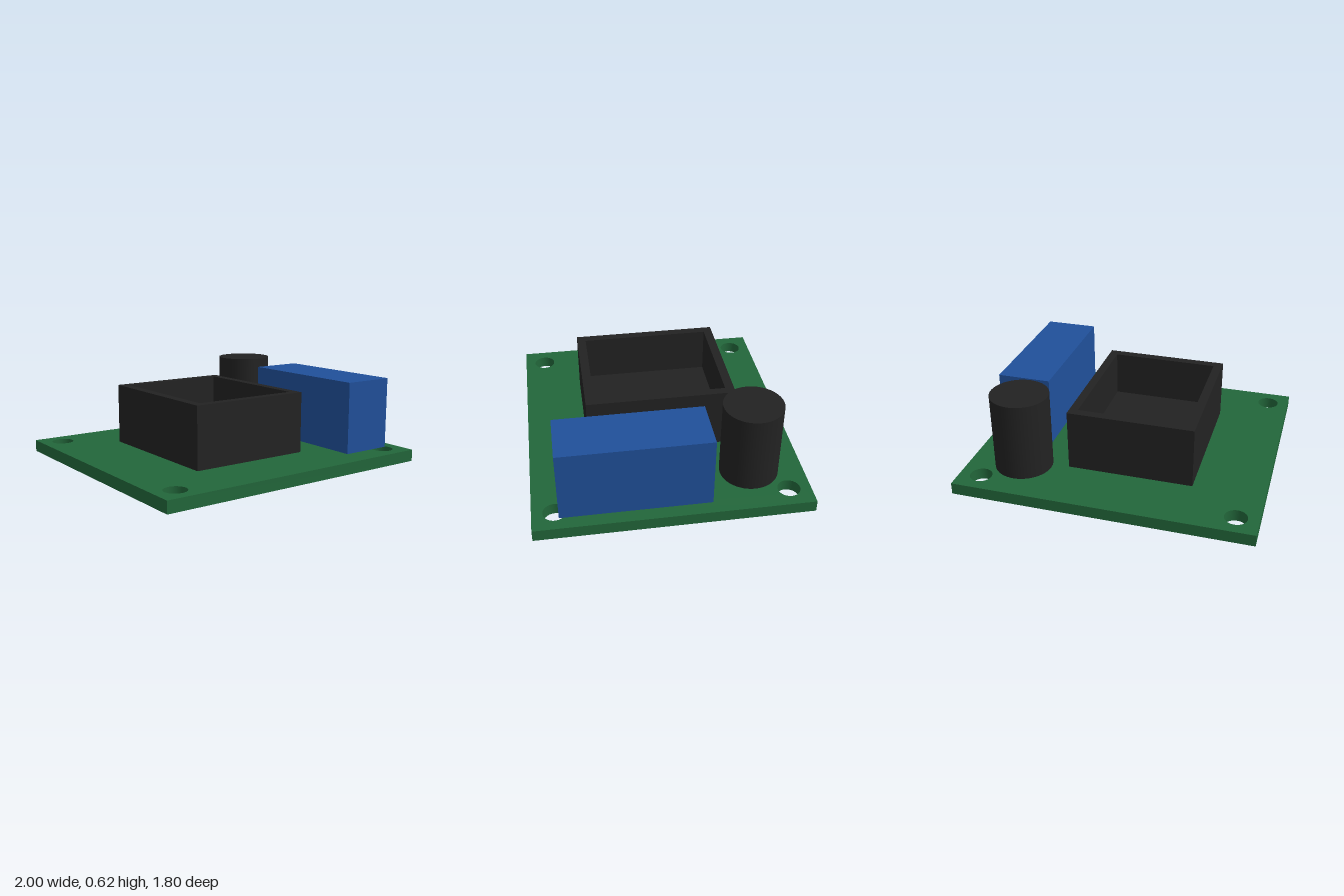
import * as THREE from 'three';

const green = new THREE.MeshStandardMaterial({ name: 'board green', color: 0x22663a });
const black = new THREE.MeshStandardMaterial({ name: 'component black', color: 0x222222 });
const blue = new THREE.MeshStandardMaterial({ name: 'component blue', color: 0x20509a });

const BOARD_TOP = 0.08;

function rectangle(path, x0, x1, z0, z1) {
  path.moveTo(x0, -z1);
  path.lineTo(x1, -z1);
  path.lineTo(x1, -z0);
  path.lineTo(x0, -z0);
  path.closePath();
  return path;
}

// Extrudes a plan outline upwards from height y
function slab(shape, y, height) {
  const geometry = new THREE.ExtrudeGeometry(shape, { depth: height, bevelEnabled: false, curveSegments: 32 });
  return geometry.rotateX(-Math.PI / 2).translate(0, y, 0);
}

export function createModel() {
  const group = new THREE.Group();
  group.name = 'circuitBoardModule';
  const add = (name, geometry, material, parent = group) => {
    const mesh = new THREE.Mesh(geometry, material);
    mesh.name = name;
    parent.add(mesh);
    return mesh;
  };

  // Board with four mounting holes
  const outline = rectangle(new THREE.Shape(), -1, 1, -0.9, 0.9);
  for (const x of [-0.853, 0.853]) {
    for (const z of [-0.755, 0.755]) {
      outline.holes.push(new THREE.Path().absarc(x, -z, 0.074, 0, Math.PI * 2, true));
    }
  }
  add('board', slab(outline, 0, BOARD_TOP), green);

  // Open-topped housing: four walls and a floor
  const housing = new THREE.Group();
  housing.name = 'housing';
  group.add(housing);
  const walls = rectangle(new THREE.Shape(), -0.525, 0.325, -0.503, 0.498);
  walls.holes.push(rectangle(new THREE.Path(), -0.465, 0.267, -0.443, 0.438));
  add('housingWalls', slab(walls, BOARD_TOP, 0.415), black, housing);
  const floor = rectangle(new THREE.Shape(), -0.465, 0.267, -0.443, 0.438);
  add('housingFloor', slab(floor, BOARD_TOP, 0.1), black, housing);

  // Capacitor
  add('capacitor', new THREE.CylinderGeometry(0.195, 0.195, 0.535, 48), black)
    .position.set(0.632, BOARD_TOP + 0.2675, -0.54);

  // Terminal block
  add('terminalBlock', new THREE.BoxGeometry(0.365, 0.488, 0.975), blue)
    .position.set(0.727, BOARD_TOP + 0.244, 0.242);

  return group;
}
